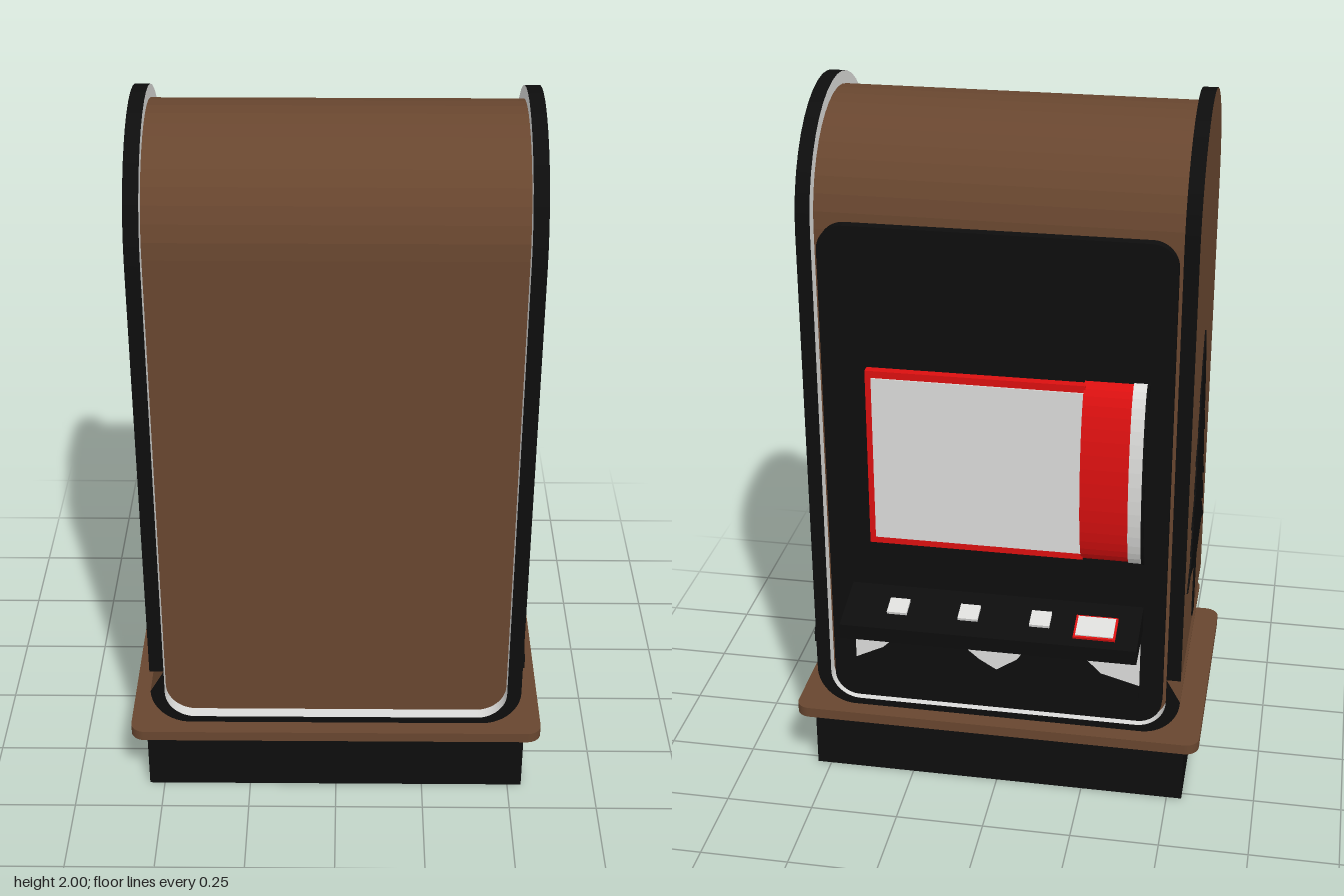
import * as THREE from 'three';

const mat = (name, color) => Object.assign(new THREE.MeshStandardMaterial({ color }), { name });

export function createModel() {
  const brown = mat('brown', 0x68462f);
  const black = mat('black', 0x0d0d0d);
  const light = mat('light grey', 0xdcdcda);
  const red = mat('red', 0xdc1010);
  const PI = Math.PI;
  const model = new THREE.Group();

  const add = (name, geo, material, parent = model) => {
    const mesh = new THREE.Mesh(geo, material);
    mesh.name = name;
    parent.add(mesh);
    return mesh;
  };
  // Box given by its limits on each axis
  const box = (name, m, x0, x1, y0, y1, z0, z1) =>
    add(name, new THREE.BoxGeometry(x1 - x0, y1 - y0, z1 - z0)
      .translate((x0 + x1) / 2, (y0 + y1) / 2, (z0 + z1) / 2), m);
  const extrude = (shape, depth) =>
    new THREE.ExtrudeGeometry(shape, { depth, bevelEnabled: false, curveSegments: 10 });
  // (x, y) shape pushed along z, and (z, y) shape pushed along x
  const alongZ = (shape, z0, z1) => extrude(shape, z1 - z0).translate(0, 0, z0);
  const alongX = (shape, x0, x1) => extrude(shape, x1 - x0).rotateY(-PI / 2).translate(x1, 0, 0);
  const poly = pts => new THREE.Shape(pts.map(p => new THREE.Vector2(p[0], p[1])));

  // Sort the triangles of an extrusion into material groups 0, 1, 2
  const paint = (geo, pick) => {
    geo.clearGroups();
    const p = geo.attributes.position, n = geo.attributes.normal;
    for (let i = 0; i < p.count; i += 3) {
      const c = new THREE.Vector3(), v = new THREE.Vector3();
      for (let k = 0; k < 3; k++) c.addScaledVector(v.fromBufferAttribute(p, i + k), 1 / 3);
      const g = pick(c, v.fromBufferAttribute(n, i));
      const last = geo.groups[geo.groups.length - 1];
      if (last && last.materialIndex === g) last.count += 3;
      else geo.addGroup(i, 3, g);
    }
    return geo;
  };

  const roundRect = (x0, x1, y0, y1, r) => {
    const s = new THREE.Shape();
    s.absarc(x1 - r, y0 + r, r, -PI / 2, 0);
    s.absarc(x1 - r, y1 - r, r, 0, PI / 2);
    s.absarc(x0 + r, y1 - r, r, PI / 2, PI);
    s.absarc(x0 + r, y0 + r, r, PI, PI * 1.5);
    return s;
  };
  // Side outline: straight walls with a round top
  const arch = (y0, r) => {
    const s = new THREE.Shape();
    s.moveTo(0.057 - r, y0);
    s.lineTo(0.057 + r, y0);
    s.absarc(0.057, 1.667, r, 0, PI);
    return s;
  };

  // Base: hollow black plinth and a rounded brown plate
  const plinth = poly([[-0.543, -0.275], [0.54, -0.275], [0.54, 0.4], [-0.543, 0.4]]);
  plinth.holes.push(new THREE.Path([[-0.44, -0.19], [-0.44, 0.31], [0.44, 0.31], [0.44, -0.19]]
    .map(p => new THREE.Vector2(...p))));
  add('plinth', extrude(plinth, 0.19).rotateX(PI / 2).translate(0, 0.19, 0), black);
  box('plinthFloor', black, -0.45, 0.45, 0.12, 0.185, -0.2, 0.32);
  add('basePlate', extrude(roundRect(-0.587, 0.587, -0.325, 0.437, 0.04), 0.03)
    .rotateX(PI / 2).translate(0, 0.22, 0), brown);

  // Shell: arched side walls joined by a floor with rounded corners
  const W = 0.527, IN = 0.487, SEAM = 0.4;
  for (const side of [-1, 1]) {
    const x0 = side > 0 ? IN : -W;
    add(side > 0 ? 'leftWall' : 'rightWall',
      paint(alongX(arch(SEAM, 0.333), x0, x0 + W - IN),
        (c, n) => Math.abs(n.x) < 0.5 ? 1 : n.x * side > 0 ? 0 : 2),
      [brown, black, light]);
  }
  const cup = new THREE.Shape();
  cup.moveTo(-W, SEAM);
  cup.absarc(-W + 0.11, 0.33, 0.11, PI, PI * 1.5);
  cup.absarc(W - 0.11, 0.33, 0.11, PI * 1.5, PI * 2);
  cup.lineTo(W, SEAM);
  cup.lineTo(IN, SEAM);
  cup.absarc(IN - 0.085, 0.325, 0.085, PI * 2, PI * 1.5, true);
  cup.absarc(-IN + 0.085, 0.325, 0.085, PI * 1.5, PI, true);
  cup.lineTo(-IN, SEAM);
  add('shellFloor', paint(alongZ(cup, -0.276, 0.39),
    (c, n) => Math.abs(n.z) > 0.5 ? 1 : n.x * c.x + n.y * (c.y - 0.6) > 0 ? 0 : 2),
    [brown, black, light]);

  // Cabinet set back between the walls
  add('cabinet', alongX(arch(SEAM, 0.298), -IN, IN), brown);
  add('cabinetFoot', alongZ(roundRect(-IN, IN, 0.24, 0.5, 0.085), -0.24, 0.354), brown);

  // Control face on the back
  add('controlPanel', alongZ(roundRect(-0.475, 0.475, 0.25, 1.69, 0.07), -0.27, -0.235), black);
  box('screenFrame', red, -0.245, 0.35, 0.775, 1.295, -0.295, -0.268);
  box('screen', light, -0.24, 0.333, 0.795, 1.275, -0.299, -0.294);

  // Bowed handle: a hollow band in three colours
  const bow = (grow) => {
    const s = new THREE.Shape();
    s.absellipse(-0.27, 1.035, 0.075 + grow, 0.265 + grow, PI / 2, PI * 1.5);
    s.absellipse(-0.27, 1.035, 0.063, 0.25, PI * 1.5, PI / 2, true);
    return s;
  };
  add('handleBand', alongX(bow(0), -0.37, -0.24), red);
  add('handleStripe', alongX(bow(0.003), -0.406, -0.37), light);
  add('handleEdge', alongX(bow(0.005), -0.413, -0.406), black);

  // Sloping shelf with buttons
  add('shelf', alongX(poly([[-0.26, 0.55], [-0.26, 0.628], [-0.3, 0.622], [-0.438, 0.586], [-0.432, 0.54]]),
    -0.415, 0.41), black);
  const button = (name, m, x, z, w, d, h) => {
    const b = add(name, new THREE.BoxGeometry(w, h, d), m);
    b.position.set(x, 0.622 + (z + 0.3) * 0.26, z);
    b.rotation.x = -0.255;
  };
  for (const x of [-0.14, 0.06, 0.26]) button('button', light, x, -0.355, 0.056, 0.056, 0.016);
  button('padFrame', red, -0.295, -0.37, 0.116, 0.084, 0.014);
  button('pad', light, -0.295, -0.37, 0.104, 0.072, 0.02);

  // Lower picture: light plate with a dark ridge
  box('lowerPicture', light, -0.41, 0.41, 0.33, 0.57, -0.273, -0.268);
  add('ridge', alongZ(poly([[-0.41, 0.33], [0.41, 0.33], [0.41, 0.38], [0.33, 0.42], [0.28, 0.47], [0.22, 0.49],
    [0.17, 0.46], [0.12, 0.47], [0.05, 0.41], [0, 0.38], [-0.06, 0.42], [-0.1, 0.48], [-0.15, 0.5],
    [-0.2, 0.46], [-0.25, 0.45], [-0.3, 0.4], [-0.41, 0.37]]), -0.277, -0.272), black);

  // Side window
  box('windowFrame', black, 0.52, 0.541, 0.965, 1.555, -0.142, 0.262);
  box('windowPane', light, 0.535, 0.543, 0.985, 1.535, -0.122, 0.242);

  // Painted treeline on the window side
  const line = [[-0.276, 0.42], [0.39, 0.42]];
  for (let i = 0; i <= 48; i++) {
    const z = 0.39 - (0.666 * i) / 48;
    line.push([z, 0.482 + 0.028 * Math.sin(i * 0.8 + 4) + 0.008 * Math.sin(i * 2.3)]);
  }
  add('treeline', alongX(poly(line), 0.524, 0.531), black);
  const flecks = [
    [[0.34, 0.5], [0.28, 0.49], [0.26, 0.55], [0.22, 0.57], [0.23, 0.62], [0.27, 0.62], [0.29, 0.57], [0.33, 0.55]],
    [[0.15, 0.57], [0.11, 0.58], [0.12, 0.61], [0.145, 0.6]],
    [[0.11, 0.6], [0.06, 0.595], [0.07, 0.62]],
    [[0.03, 0.56], [-0.03, 0.565], [-0.05, 0.61], [-0.02, 0.615], [-0.01, 0.585]],
  ];
  for (const f of flecks) add('treelineFleck', alongX(poly(f), 0.524, 0.531), black);

  // Painted fir tree on the other side
  const tiers = 8, edge = s => {
    const pts = [];
    for (let i = 0; i < tiers; i++) {
      const t = (i + 1) / tiers, y = 1.32 - 0.68 * t;
      const w = 0.03 + 0.23 * t * (i % 2 ? 1 : 0.85);
      pts.push([0.06 + s * w, y - (s > 0 ? 0.02 : 0)], [0.06 + s * w * 0.68, y + 0.012]);
    }
    return pts;
  };
  add('firTree', alongX(poly([[0.06, 1.33], ...edge(1), [0.085, 0.61], [0.08, 0.43], [0.035, 0.43],
    [0.04, 0.61], ...edge(-1).reverse()]), -0.531, -0.524), black);

  return model;
}
